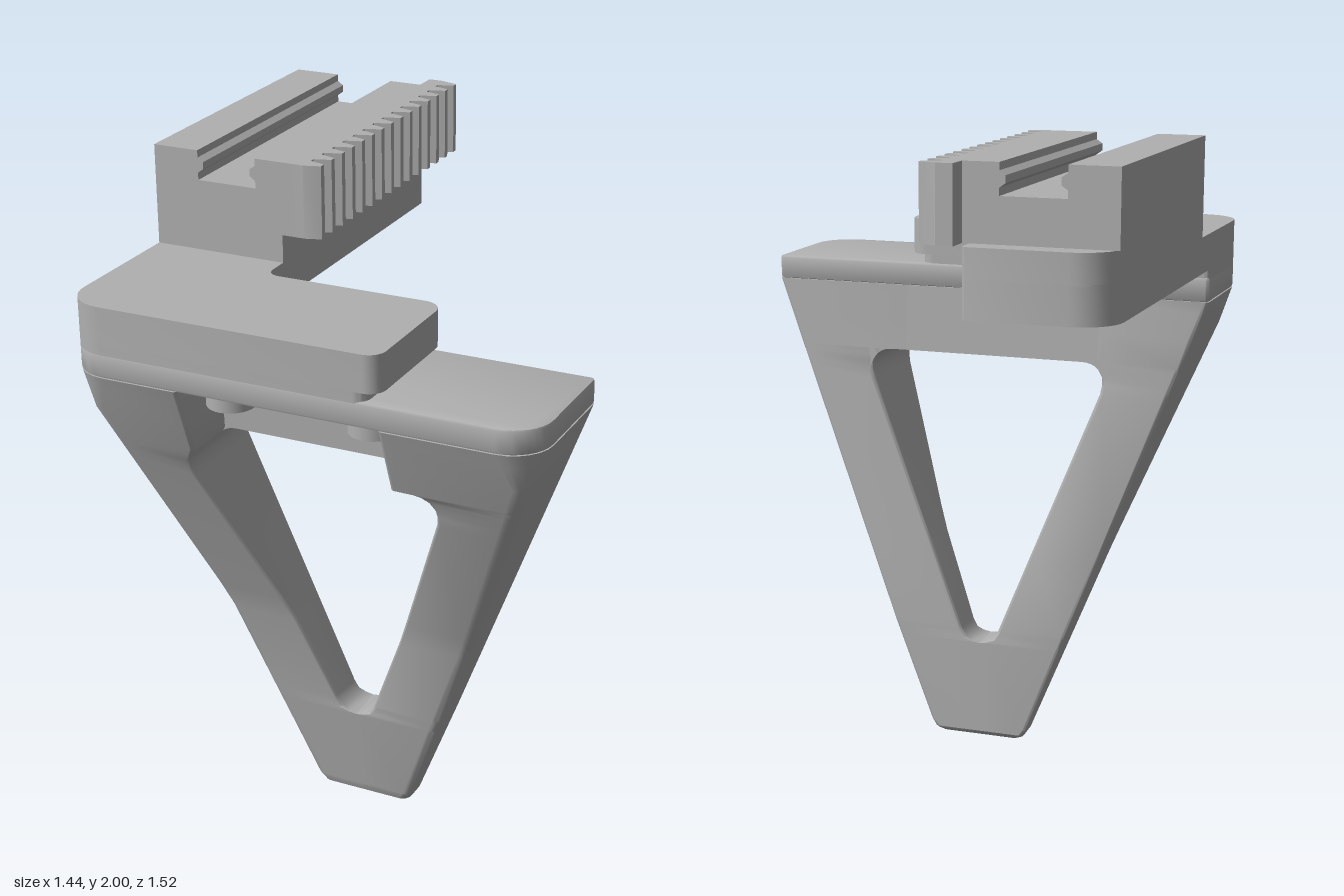
import * as THREE from 'three';
import { toCreasedNormals } from 'three/addons/utils/BufferGeometryUtils.js';

const grey = new THREE.MeshStandardMaterial({ color: 0xb0b0b0 });
grey.name = 'grey plastic';

function part(name, geometry, parent) {
  const mesh = new THREE.Mesh(geometry, grey);
  mesh.name = name;
  parent.add(mesh);
  return mesh;
}

// Piecewise linear lookup in [y, value] pairs
function along(table, y) {
  for (let i = 1; i < table.length; i++) {
    const [y0, v0] = table[i - 1], [y1, v1] = table[i];
    if (y <= y1) return v0 + (v1 - v0) * Math.max(0, (y - y0) / (y1 - y0));
  }
  return table[table.length - 1][1];
}

// Plan outline from corners [x, z, radius]
function plan(corners) {
  const shape = new THREE.Shape(), n = corners.length;
  corners.forEach(([x, z, r = 0], i) => {
    const p = new THREE.Vector2(x, -z);
    const toward = ([cx, cz]) => new THREE.Vector2(cx, -cz).sub(p).setLength(r).add(p);
    const a = toward(corners[(i + n - 1) % n]), b = toward(corners[(i + 1) % n]);
    if (i === 0) shape.moveTo(a.x, a.y);
    else shape.lineTo(a.x, a.y);
    if (r) {
      // Cubic that follows a quarter circle
      const k = 0.552, c1 = a.clone().lerp(p, k), c2 = b.clone().lerp(p, k);
      shape.bezierCurveTo(c1.x, c1.y, c2.x, c2.y, b.x, b.y);
    }
  });
  shape.closePath();
  return shape;
}

// Plan outline raised from y0 to y1
function slab(corners, y0, y1, bevel = 0) {
  const g = new THREE.ExtrudeGeometry(plan(corners), {
    depth: y1 - y0 - 2 * bevel, curveSegments: 8, bevelEnabled: bevel > 0,
    bevelSize: bevel, bevelOffset: -bevel, bevelThickness: bevel, bevelSegments: 2,
  });
  g.rotateX(-Math.PI / 2).translate(0, y0 + bevel, 0);
  return toCreasedNormals(g, 0.6);
}

// Leg profiles by height
const outer = [[0, 0.13], [0.008, 0.148], [0.035, 0.166], [1.44, 0.705], [1.48, 0.72]];
const front = [[0, 0.315], [0.008, 0.328], [0.03, 0.336], [0.64, 0.442], [0.72, 0.468], [1.48, 0.76]];
const back = [[0, 0.272], [0.015, 0.26], [0.37, 0.26], [1.48, 0.33]];
const frontRadius = [[0, 0.03], [1.36, 0.04], [1.48, 0.12]];
const opening = [[0, 0], [0.32, 0], [0.324, 0.026], [0.335, 0.045], [0.36, 0.061],
  [1.17, 0.381], [1.2, 0.387], [1.225, 0.385], [1.25, 0.37]];

// Half of the frame, lofted through rounded horizontal sections
function legGeometry(side, inner) {
  const ys = [...new Set([outer, front, back, frontRadius, inner].flat().map(p => p[0]))].sort((a, b) => a - b);
  const steps = 6, pos = [], index = [];
  for (const y of ys) {
    const xo = along(outer, y), xi = along(inner, y), zf = along(front, y), zb = along(back, y);
    const rf = Math.min(along(frontRadius, y), (zf - zb) * 0.5), ri = xi > 0.04 ? 0.012 : 0;
    const ring = [];
    [[xo, zf, rf], [xo, zb, 0.015], [xi, zb, ri], [xi, zf, ri]].forEach(([x, z, r], q) => {
      const cx = x + (q < 2 ? -r : r), cz = z + (q === 0 || q === 3 ? -r : r);
      for (let s = 0; s <= steps; s++) {
        const a = (q + s / steps) * Math.PI / 2;
        ring.push([side * (cx + r * Math.sin(a)), y, cz + r * Math.cos(a)]);
      }
    });
    if (side < 0) ring.reverse();
    pos.push(...ring.flat());
  }
  const n = 4 * (steps + 1), last = (ys.length - 1) * n;
  for (let i = 0; i < ys.length - 1; i++) {
    for (let j = 0; j < n; j++) {
      const a = i * n + j, b = i * n + (j + 1) % n;
      index.push(a, b, a + n, b, b + n, a + n);
    }
  }
  for (let j = 1; j < n - 1; j++) index.push(0, j + 1, j, last, last + j, last + j + 1);
  const g = new THREE.BufferGeometry();
  g.setAttribute('position', new THREE.Float32BufferAttribute(pos, 3));
  g.setIndex(index);
  return toCreasedNormals(g, 0.6);
}

export function createModel() {
  const model = new THREE.Group();
  model.name = 'bracket';

  // Tapered frame with a triangular opening
  const frame = new THREE.Group();
  frame.name = 'frame';
  model.add(frame);
  part('leftLeg', legGeometry(1, [...opening, [1.266, 0.345], [1.27, 0.32], [1.271, 0.26], [1.48, 0.26]]), frame);
  part('rightLeg', legGeometry(-1, [...opening, [1.27, 0.36], [1.48, 0.36]]), frame);
  part('deck', slab([[-0.72, 0.33, 0.015], [-0.72, 0.76, 0.12], [0.72, 0.76, 0.12], [0.72, 0.33, 0.015]],
    1.48, 1.555, 0.008), frame);

  // Bar closing the rear of the recess, with rounded lower corners
  const bar = new THREE.Shape();
  bar.moveTo(-0.395, 1.2);
  bar.quadraticCurveTo(-0.385, 1.27, -0.32, 1.27);
  bar.lineTo(0.32, 1.27);
  bar.quadraticCurveTo(0.385, 1.27, 0.395, 1.2);
  bar.lineTo(0.42, 1.48);
  bar.lineTo(-0.42, 1.48);
  bar.closePath();
  const barGeometry = new THREE.ExtrudeGeometry(bar, { depth: 0.18, bevelEnabled: false, curveSegments: 8 });
  const bp = barGeometry.attributes.position;
  for (let i = 0; i < bp.count; i++) bp.setZ(i, bp.getZ(i) + along(back, bp.getY(i)));
  part('crossbar', toCreasedNormals(barGeometry, 0.6), frame);

  // Screw bosses under the deck
  for (const x of [-0.275, 0.172]) {
    part('screwBoss', new THREE.CylinderGeometry(0.072, 0.072, 0.08, 32), frame).position.set(x, 1.44, 0.6);
  }

  // Spacer and L-shaped platform
  part('spacer', slab([[-0.72, 0.335, 0.02], [-0.72, 0.76, 0.12], [0.225, 0.76, 0.04], [0.225, 0.335, 0.04]],
    1.55, 1.583), model);
  part('platform', slab([[-0.72, -0.76, 0.12], [-0.72, 0.76, 0.12], [0.265, 0.76, 0.05], [0.265, 0.33, 0.06],
    [-0.3, 0.33, 0.04], [-0.3, -0.76, 0.02]], 1.583, 1.695), model);
  part('arm', slab([[-0.72, -0.76, 0.12], [-0.72, 0.225], [-0.3, 0.225], [-0.3, -0.76, 0.02]], 1.69, 1.78), model);

  // Rail with a ribbed groove
  const rail = new THREE.Shape();
  const half = [[-0.575, 2], [-0.575, 1.978], [-0.557, 1.966], [-0.557, 1.945], [-0.575, 1.932], [-0.575, 1.91]];
  const other = half.map(([x, y]) => [-0.96 - x, y]).reverse();
  const outline = [[-0.72, 1.78], [-0.72, 2], ...half, ...other, [-0.28, 2], [-0.28, 1.78]];
  rail.setFromPoints(outline.map(([x, y]) => new THREE.Vector2(x, y)));
  const railGeometry = new THREE.ExtrudeGeometry(rail, { depth: 0.915, bevelEnabled: false });
  part('groovedRail', railGeometry.translate(0, 0, -0.69), model);

  // Toothed rack along the inner side of the rail
  const rack = [[-0.28, 0.225], [-0.23, 0.225]];
  for (let i = 14; i >= 0; i--) {
    const z = -0.735 + i * 0.0668;
    rack.push([-0.228, z + 0.025], [-0.178, z + 0.01], [-0.178, z - 0.01], [-0.228, z - 0.025]);
  }
  rack.push([-0.23, -0.762], [-0.28, -0.762]);
  part('toothedRack', slab(rack, 1.78, 2), model);

  return model;
}
